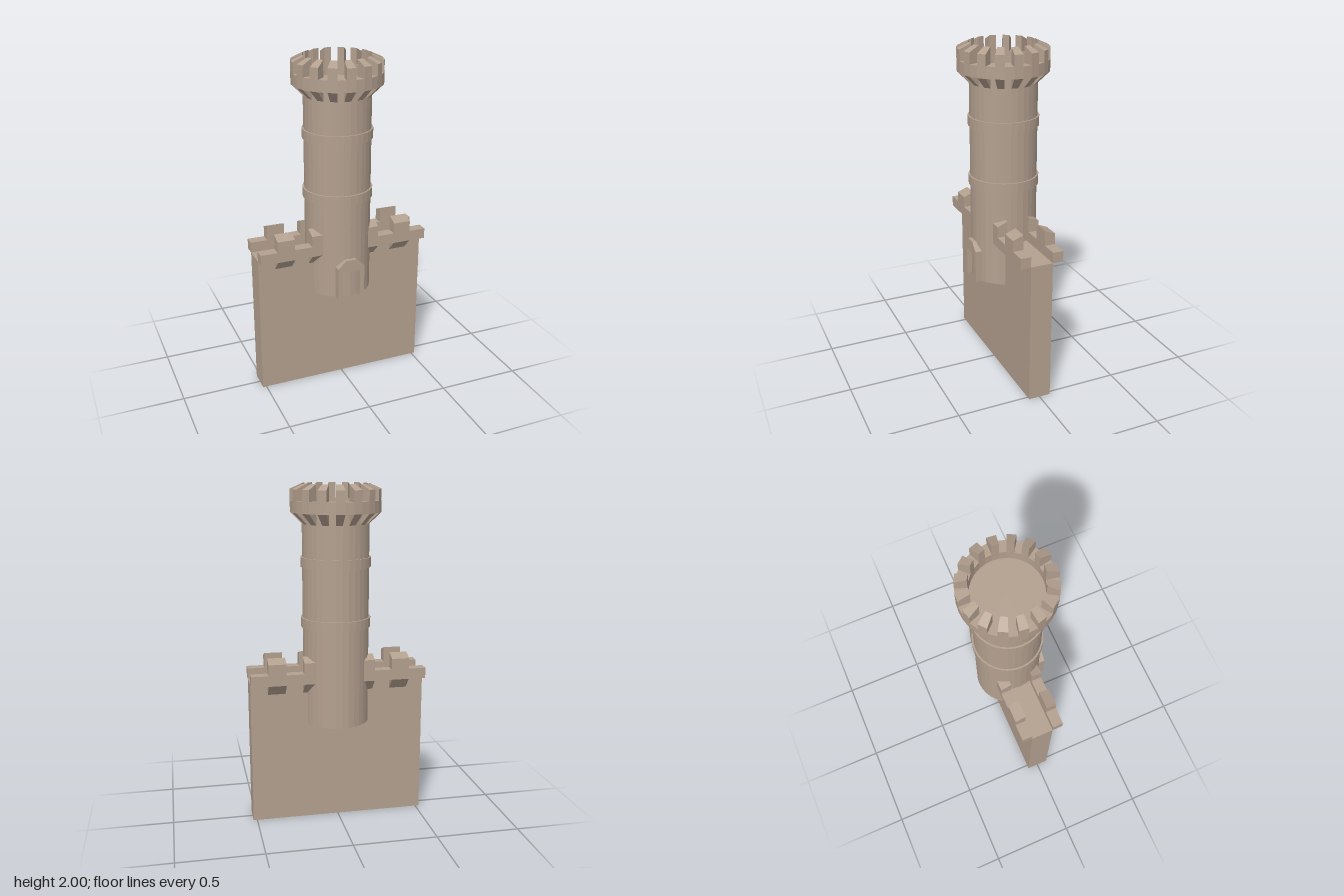
import * as THREE from 'three';

const SIDES = 32;
const STEP = (Math.PI * 2) / SIDES;
const R = 0.195; // tower radius
const WALL_X = 0.522, WALL_Z = 0.067;

// Flat-faceted copy of a geometry
function faceted(geometry) {
  const g = geometry.index ? geometry.toNonIndexed() : geometry;
  g.computeVertexNormals();
  return g;
}

// Solid between two matching convex cross-sections
function loft(a, b) {
  const pos = [];
  const tri = (...pts) => pts.forEach((p) => pos.push(...p));
  const n = a.length;
  for (let i = 0; i < n; i++) {
    const j = (i + 1) % n;
    tri(a[i], b[i], b[j]);
    tri(a[i], b[j], a[j]);
  }
  for (let i = 1; i < n - 1; i++) {
    tri(a[0], a[i], a[i + 1]);
    tri(b[0], b[i + 1], b[i]);
  }
  const g = new THREE.BufferGeometry();
  g.setAttribute('position', new THREE.Float32BufferAttribute(pos, 3));
  g.computeVertexNormals();
  return g;
}

// Profile (depth, y) carried straight along x
const along = (profile, x0, x1) =>
  loft(profile.map(([d, y]) => [x0, y, d]), profile.map(([d, y]) => [x1, y, d]));

// Profile (radius, y) carried through one tower segment
function sector(profile, k) {
  const at = (phi) => profile.map(([r, y]) => [r * Math.sin(phi), y, r * Math.cos(phi)]);
  return loft(at(k * STEP), at((k + 1) * STEP));
}

export function createModel() {
  const model = new THREE.Group();
  model.name = 'towerAndWall';
  const stone = new THREE.MeshStandardMaterial({ color: 0xb3a08f });
  stone.name = 'stone';

  const add = (name, geometry, parent = model) => {
    const mesh = new THREE.Mesh(geometry, stone);
    mesh.name = name;
    parent.add(mesh);
    return mesh;
  };
  const group = (name) => {
    const g = new THREE.Group();
    g.name = name;
    model.add(g);
    return g;
  };

  // Curtain wall
  add('wall', new THREE.BoxGeometry(WALL_X * 2, 0.857, WALL_Z * 2)).position.y = 0.4285;

  // Parapets on both faces of the wall, with merlons and wedge corbels
  const out = 0.13;
  const ledge = [[WALL_Z, 0.857], [out, 0.857], [out, 0.92], [WALL_Z, 0.92]];
  const merlon = [[WALL_Z, 0.92], [out, 0.92], [out, 0.985], [WALL_Z, 1.01]];
  const corbel = [[WALL_Z, 0.79], [out, 0.857], [WALL_Z, 0.857]];
  for (const [name, turn] of [['frontParapet', 0], ['backParapet', Math.PI]]) {
    const parapet = group(name);
    parapet.rotation.y = turn;
    for (const side of [-1, 1]) {
      const span = (profile, a, b) =>
        along(profile, Math.min(side * a, side * b), Math.max(side * a, side * b));
      add('ledge', span(ledge, 0.1, WALL_X), parapet);
      for (const x of [0.105, 0.315]) {
        add('wallMerlon', span(merlon, x, x + 0.105), parapet);
        add('wallCorbel', span(corbel, x, x + 0.105), parapet);
      }
    }
  }

  // Tower shaft and its two bands
  const drum = (name, r, y0, y1) => {
    const g = faceted(new THREE.CylinderGeometry(r, r, y1 - y0, SIDES));
    add(name, g).position.y = (y0 + y1) / 2;
  };
  drum('towerShaft', R, 0.595, 1.84);
  drum('lowerBand', 0.205, 1.175, 1.232);
  drum('upperBand', 0.205, 1.528, 1.585);

  // Tower crown: ring, merlons with sloped tops, and corbels beneath
  const crown = group('towerCrown');
  const rOut = 0.262;
  const ring = [[R, 1.84], [rOut, 1.84], [rOut, 1.907], [R, 1.907], [R, 1.84]];
  const ringPoints = ring.map(([r, y]) => new THREE.Vector2(r, y));
  add('crownRing', faceted(new THREE.LatheGeometry(ringPoints, SIDES)), crown);
  for (let k = 1; k < SIDES; k += 2) {
    add('crownMerlon', sector([[R, 1.907], [rOut, 1.907], [rOut, 1.97], [R, 2]], k), crown);
    add('crownCorbel', sector([[R, 1.775], [rOut, 1.84], [R, 1.84]], k), crown);
  }

  // Door surround with a chamfered head and an open doorway
  const outline = [
    [-0.083, 0.595], [-0.055, 0.595], [-0.055, 0.765], [0.055, 0.765], [0.055, 0.595],
    [0.083, 0.595], [0.083, 0.79], [0.032, 0.837], [-0.032, 0.837], [-0.083, 0.79],
  ];
  const shape = new THREE.Shape(outline.map(([x, y]) => new THREE.Vector2(x, y)));
  const frame = new THREE.ExtrudeGeometry(shape, { depth: 0.067, bevelEnabled: false });
  add('doorSurround', frame).position.z = 0.15;

  return model;
}
